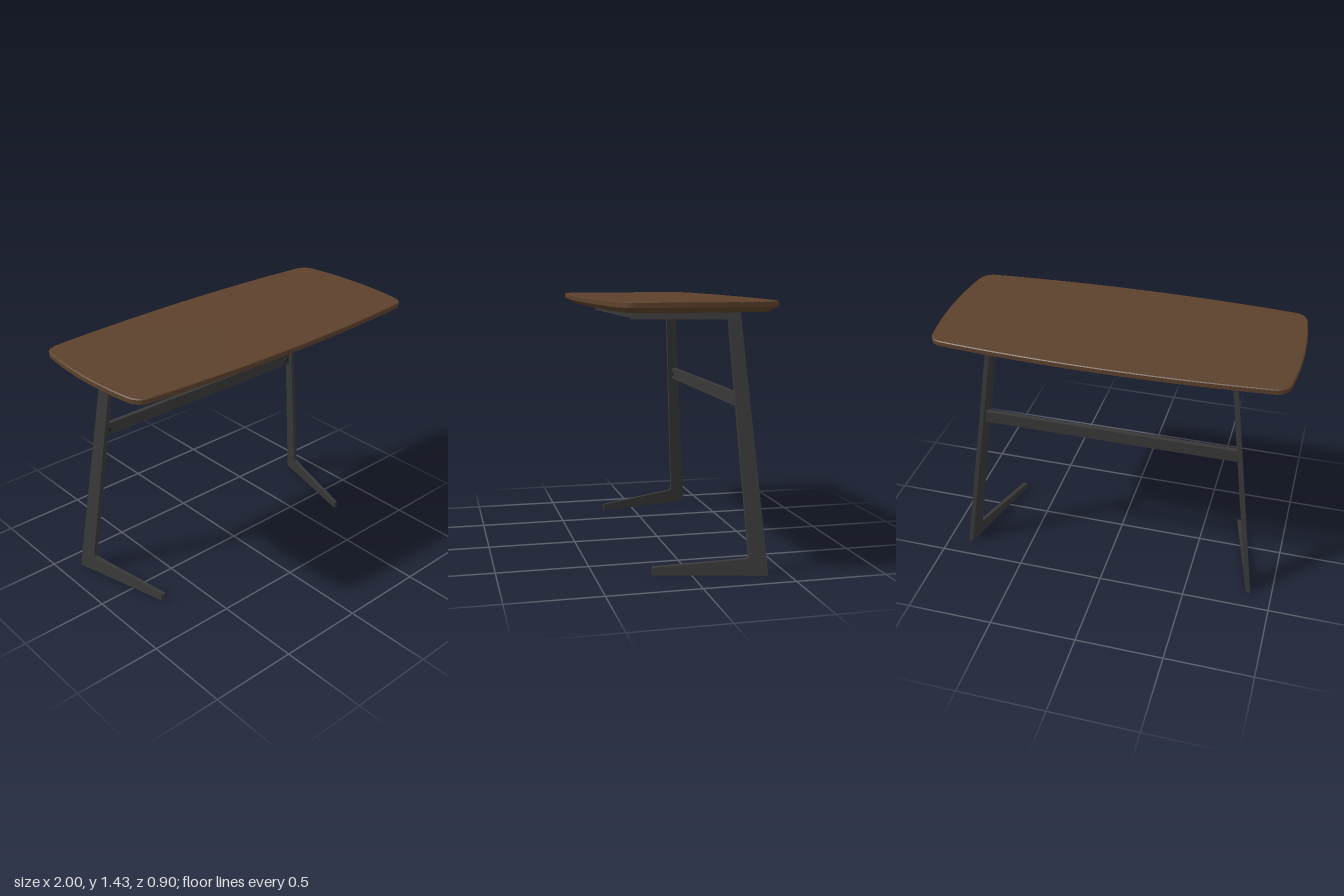
import * as THREE from 'three';
import { toCreasedNormals } from 'three/addons/utils/BufferGeometryUtils.js';

const wood = new THREE.MeshStandardMaterial({ name: 'walnut', color: 0x5c412c });
const steel = new THREE.MeshStandardMaterial({ name: 'dark steel', color: 0x383838 });
const boltSteel = new THREE.MeshStandardMaterial({ name: 'bolt black', color: 0x262626 });

function addMesh(parent, name, geometry, material, x = 0, y = 0, z = 0) {
  const mesh = new THREE.Mesh(geometry, material);
  mesh.name = name;
  mesh.position.set(x, y, z);
  parent.add(mesh);
  return mesh;
}

// Bowed rectangle with round corners, lofted upward with a bevelled underside
function tabletopGeometry() {
  const shape = new THREE.Shape();
  shape.moveTo(0.9, -0.41);
  shape.quadraticCurveTo(0.965, -0.4, 0.975, -0.33);
  shape.quadraticCurveTo(1.025, 0, 0.975, 0.33);
  shape.quadraticCurveTo(0.965, 0.4, 0.9, 0.41);
  shape.quadraticCurveTo(0, 0.49, -0.9, 0.41);
  shape.quadraticCurveTo(-0.965, 0.4, -0.975, 0.33);
  shape.quadraticCurveTo(-1.025, 0, -0.975, -0.33);
  shape.quadraticCurveTo(-0.965, -0.4, -0.9, -0.41);
  shape.quadraticCurveTo(0, -0.49, 0.9, -0.41);
  const outline = shape.getPoints(16).slice(0, -1);
  const n = outline.length;
  const levels = [[1.38, 0.043], [1.407, 0], [1.431, 0], [1.435, 0.005]]; // height, inset
  const positions = [];
  const index = [];
  for (const [y, inset] of levels) {
    for (const p of outline) positions.push(p.x * (1 - inset), y, p.y * (1 - inset / 0.45));
  }
  const bottom = n * levels.length;
  const top = bottom + 1;
  positions.push(0, 1.38, 0, 0, 1.435, 0);
  for (let i = 0; i < n; i++) {
    const j = (i + 1) % n;
    for (let k = 0; k < levels.length - 1; k++) {
      const a = k * n + i, b = k * n + j;
      index.push(a, a + n, b, b, a + n, b + n);
    }
    const last = n * (levels.length - 1);
    index.push(bottom, i, j, top, last + j, last + i);
  }
  const geometry = new THREE.BufferGeometry();
  geometry.setAttribute('position', new THREE.Float32BufferAttribute(positions, 3));
  geometry.setIndex(index);
  return toCreasedNormals(geometry, 0.45);
}

// C-shaped plate drawn in (z, y), then leaned inward toward the top and the front
function legGeometry(side) {
  const shape = new THREE.Shape();
  shape.moveTo(-0.39, 0);
  shape.lineTo(0.198, 0);
  shape.lineTo(0.198, 0.036);
  shape.lineTo(0.19, 0.041);
  shape.lineTo(-0.275, 0.086);
  shape.quadraticCurveTo(-0.294, 0.088, -0.294, 0.105);
  shape.lineTo(-0.221, 1.315);
  shape.quadraticCurveTo(-0.22, 1.33, -0.205, 1.33);
  shape.lineTo(0.27, 1.33);
  shape.lineTo(0.27, 1.38);
  shape.lineTo(-0.28, 1.38);
  const geometry = new THREE.ExtrudeGeometry(shape, { depth: 0.026, bevelEnabled: false, curveSegments: 5 });
  const p = geometry.attributes.position;
  for (let i = 0; i < p.count; i++) {
    const z = p.getX(i), y = p.getY(i), d = p.getZ(i);
    p.setXYZ(i, side * (0.88 - 0.255 * (z + 0.39) - 0.115 * y - d), y, z);
  }
  // The mirrored plate needs its corner order reversed
  if (side < 0) {
    const a = new THREE.Vector3(), b = new THREE.Vector3();
    for (let i = 0; i < p.count; i += 3) {
      a.fromBufferAttribute(p, i + 1);
      b.fromBufferAttribute(p, i + 2);
      p.setXYZ(i + 1, b.x, b.y, b.z);
      p.setXYZ(i + 2, a.x, a.y, a.z);
    }
  }
  return toCreasedNormals(geometry, 0.5);
}

export function createModel() {
  const table = new THREE.Group();
  table.name = 'table';
  addMesh(table, 'tabletop', tabletopGeometry(), wood);

  // Cross bars joining the posts and the front ends of the arms
  addMesh(table, 'backRail', new THREE.BoxGeometry(1.45, 0.07, 0.028), steel, 0, 0.905, -0.288);
  addMesh(table, 'topRail', new THREE.BoxGeometry(1.08, 0.043, 0.03), steel, 0, 1.3575, 0.25);

  for (const side of [1, -1]) {
    const name = side > 0 ? 'left' : 'right';
    addMesh(table, name + 'Leg', legGeometry(side), steel);
    // Bolt heads on the rails
    const railBolt = addMesh(table, name + 'RailBolt',
      new THREE.CylinderGeometry(0.014, 0.014, 0.006, 16), boltSteel, side * 0.69, 0.905, -0.272);
    railBolt.rotation.x = Math.PI / 2;
    addMesh(table, name + 'TopBolt',
      new THREE.CylinderGeometry(0.015, 0.011, 0.01, 16), boltSteel, side * 0.505, 1.331, 0.25);
  }
  return table;
}
